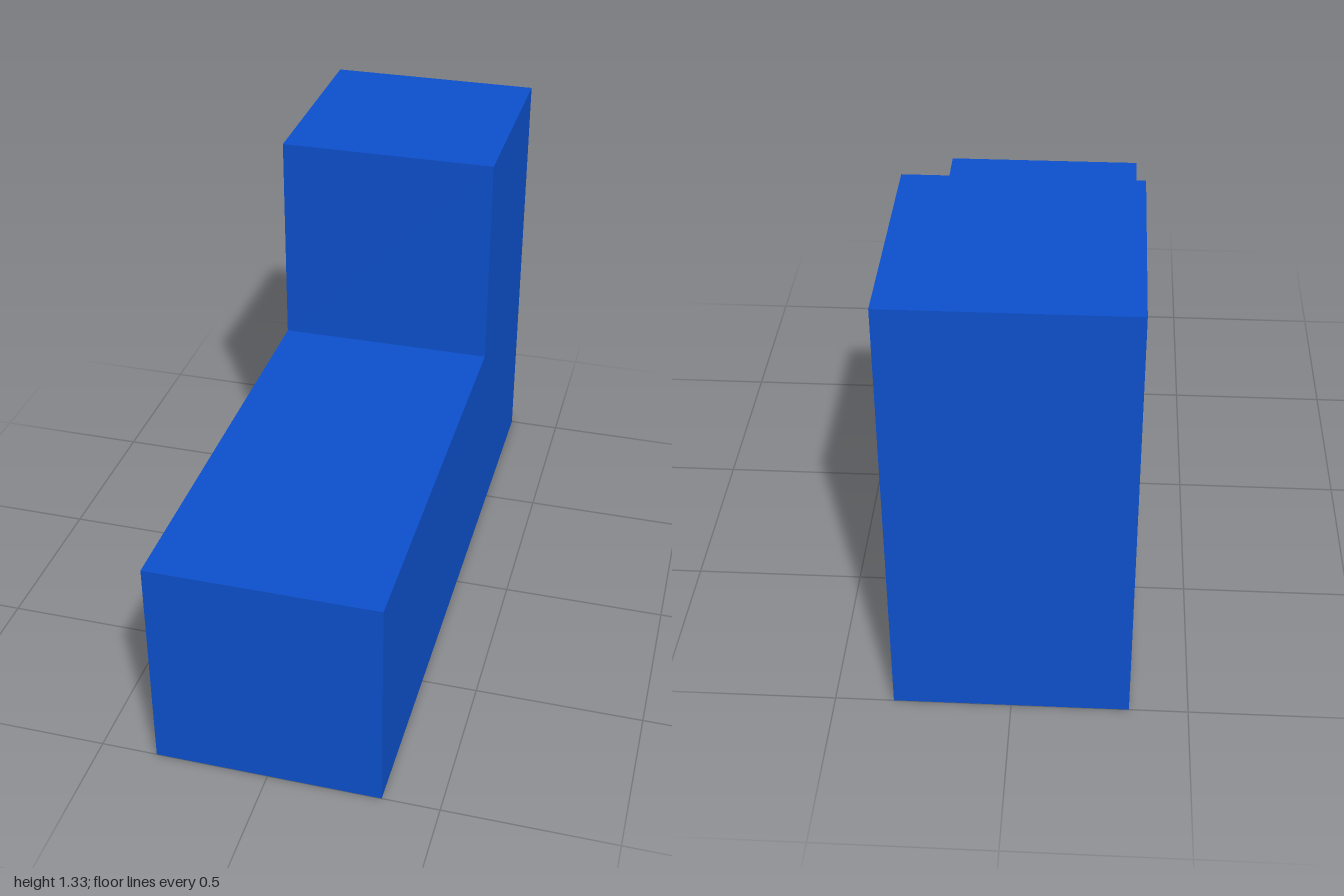
import * as THREE from 'three';

const UNIT = 2 / 3; // edge of one cube cell; the piece is three long, two high, one wide

export function createModel() {
  const group = new THREE.Group();
  group.name = 'lBlock';

  // L-shaped side profile: horizontal axis is z, vertical axis is y
  const profile = new THREE.Shape([
    [-1, 0], [1, 0], [1, UNIT], [1 - 2 * UNIT, UNIT], [1 - 2 * UNIT, 2 * UNIT], [-1, 2 * UNIT],
  ].map(([z, y]) => new THREE.Vector2(z, y)));

  // Extrude across the width, centre it, then turn the profile into the z-y plane
  const geometry = new THREE.ExtrudeGeometry(profile, { depth: UNIT, bevelEnabled: false });
  geometry.translate(0, 0, -UNIT / 2);
  geometry.rotateY(-Math.PI / 2);

  const block = new THREE.Mesh(geometry, new THREE.MeshStandardMaterial({ color: 0x0d50cc }));
  block.name = 'block';
  group.add(block);
  return group;
}
